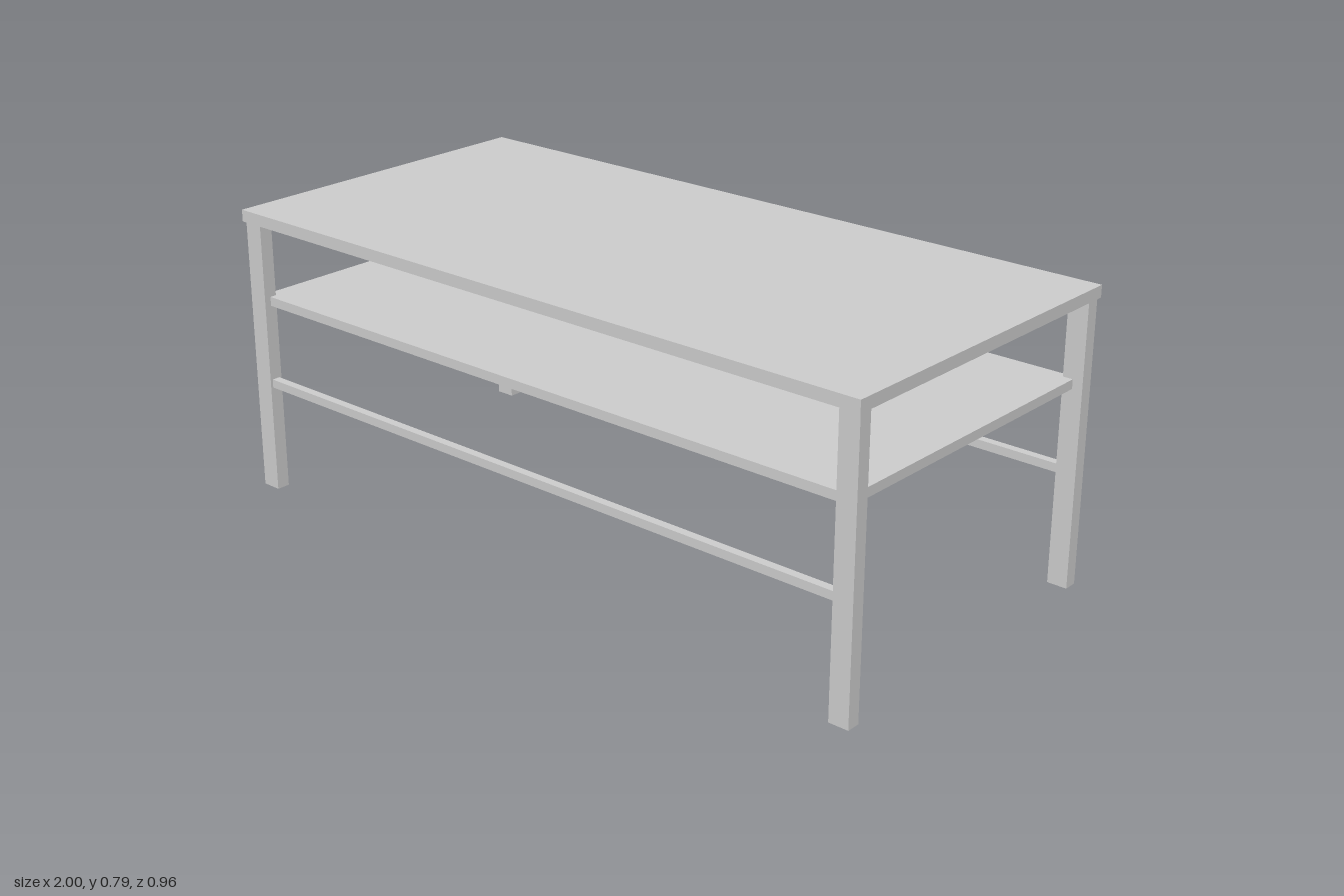
import * as THREE from 'three';

const material = new THREE.MeshStandardMaterial({ color: 0xcccccc, flatShading: true });

// Leg footprint: inner and outer faces along x and z
const LEG = { xIn: 0.94, xOut: 0.995, zIn: 0.435, zOut: 0.472 };
const legX = (LEG.xIn + LEG.xOut) / 2;
const legZ = (LEG.zIn + LEG.zOut) / 2;

// Box given by its base height, size and centre
function box(name, w, h, d, x, y, z) {
  const mesh = new THREE.Mesh(new THREE.BoxGeometry(w, h, d), material);
  mesh.name = name;
  mesh.position.set(x, y + h / 2, z);
  return mesh;
}

// Shelf panel with its corners notched around the legs
function createShelf(y, thickness) {
  const { xIn, zIn } = LEG;
  const shape = new THREE.Shape([
    [legX, -zIn], [legX, zIn], [xIn, zIn], [xIn, legZ],
    [-xIn, legZ], [-xIn, zIn], [-legX, zIn], [-legX, -zIn],
    [-xIn, -zIn], [-xIn, -legZ], [xIn, -legZ], [xIn, -zIn],
  ].map(([x, z]) => new THREE.Vector2(x, z)));
  const geometry = new THREE.ExtrudeGeometry(shape, { depth: thickness, bevelEnabled: false });
  geometry.rotateX(-Math.PI / 2);
  const mesh = new THREE.Mesh(geometry, material);
  mesh.name = 'shelf';
  mesh.position.y = y;
  return mesh;
}

export function createModel() {
  const table = new THREE.Group();
  table.name = 'coffeeTable';

  table.add(box('tableTop', 2, 0.032, 0.96, 0, 0.755, 0));
  table.add(createShelf(0.527, 0.025));

  for (const [end, sz] of [['front', 1], ['back', -1]]) {
    // Long stretcher rail between the two legs
    table.add(box(`${end}Rail`, LEG.xIn * 2, 0.023, 0.023, 0, 0.297, sz * legZ));
    for (const [side, sx] of [['Left', 1], ['Right', -1]]) {
      table.add(box(`${end}${side}Leg`, LEG.xOut - LEG.xIn, 0.755, LEG.zOut - LEG.zIn, sx * legX, 0, sz * legZ));
    }
  }
  return table;
}
